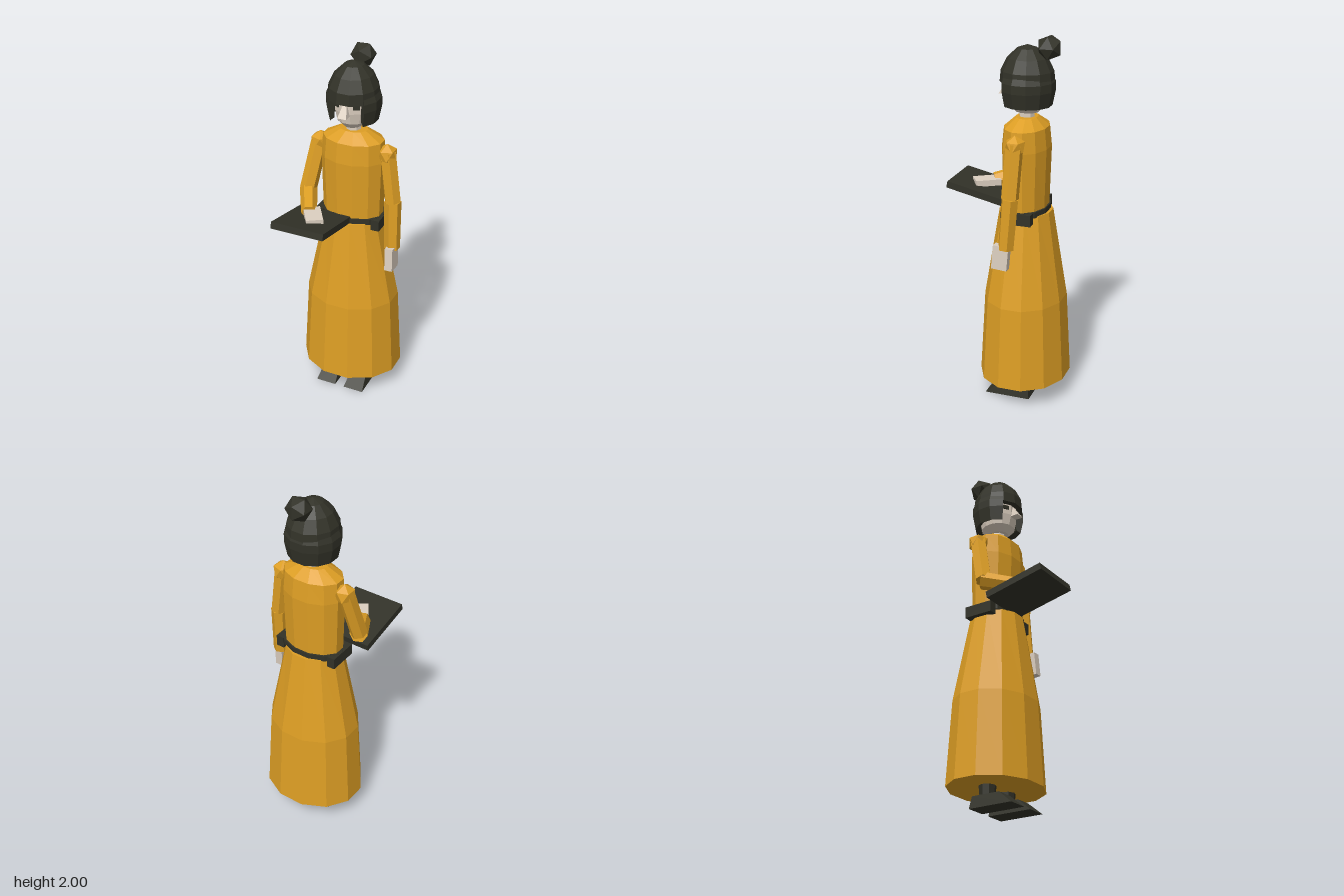
import * as THREE from 'three';
import { ConvexGeometry } from 'three/addons/geometries/ConvexGeometry.js';

const AXIS = -0.106; // z of the body's vertical axis
const V = (x, y, z) => new THREE.Vector3(x, y, z);

function material(name, color, side = THREE.FrontSide) {
  const m = new THREE.MeshStandardMaterial({ color, side, flatShading: true });
  m.name = name;
  return m;
}

export function createModel() {
  const model = new THREE.Group();
  const robe = material('golden robe', 0xdd9e24);
  const skin = material('pale skin', 0xdccfc0);
  const dark = material('charcoal', 0x323228, THREE.DoubleSide);

  function add(name, geometry, mat, x = 0, y = 0, z = 0) {
    const mesh = new THREE.Mesh(geometry, mat);
    mesh.name = name;
    mesh.position.set(x, y, z);
    model.add(mesh);
    return mesh;
  }

  // Twelve-sided elliptical body from rows of [half width, half depth, y]
  function rings(name, rows, mat, capped = true) {
    const k = 1 / Math.cos(Math.PI / 12);
    const list = capped
      ? [[0, 0, rows[0][2]], ...rows, [0, 0, rows[rows.length - 1][2]]] : rows;
    const g = new THREE.LatheGeometry(
      list.map((r) => new THREE.Vector2(r[0] * k, r[2])), 12, Math.PI / 12);
    const p = g.attributes.position;
    const n = list.length;
    for (let i = 0; i < p.count; i++) {
      const [w, d] = list[i % n];
      if (w > 0) p.setZ(i, p.getZ(i) * d / w);
    }
    g.computeVertexNormals();
    return add(name, g, mat, 0, 0, AXIS);
  }

  // Tapered six-sided limb between two points
  function limb(name, a, b, ra, rb, mat) {
    const dir = b.clone().sub(a);
    const mesh = add(name, new THREE.CylinderGeometry(rb, ra, dir.length(), 6), mat);
    mesh.position.copy(a).lerp(b, 0.5);
    mesh.quaternion.setFromUnitVectors(V(0, 1, 0), dir.normalize());
    return mesh;
  }

  // Robe
  rings('skirt', [[0.275, 0.238, 0.12], [0.25, 0.213, 0.58], [0.15, 0.137, 1.075]], robe);
  rings('torso', [[0.163, 0.112, 1.07], [0.172, 0.122, 1.42],
    [0.163, 0.111, 1.53], [0.076, 0.056, 1.58]], robe);

  // Belt with a pad on each hip
  rings('belt', [[0.178, 0.122, 1.07], [0.178, 0.122, 1.102]], dark);
  for (const s of [-1, 1]) {
    add('beltPad', new THREE.BoxGeometry(0.046, 0.062, 0.165), dark, s * 0.162, 1.07, AXIS);
  }

  // Feet: wedge shoes and ankles
  for (const s of [-1, 1]) {
    const shoe = [];
    for (const e of [-1, 1]) {
      const x = s * 0.085;
      shoe.push(V(x + e * 0.058, 0, 0.08), V(x + e * 0.058, 0, -0.173),
        V(x + e * 0.047, 0.066, 0), V(x + e * 0.047, 0.066, -0.163));
    }
    add('shoe', new ConvexGeometry(shoe), dark);
    add('ankle', new THREE.CylinderGeometry(0.052, 0.04, 0.12, 8), dark, s * 0.087, 0.12, -0.1);
  }

  // Shoulders, with one vertex pointing up
  for (const s of [-1, 1]) {
    const g = new THREE.IcosahedronGeometry(0.058);
    g.rotateZ(s * Math.atan(2 / (1 + Math.sqrt(5))));
    add('shoulder', g, robe, s * 0.19, 1.467, AXIS);
  }

  // Left arm, hanging
  const lElbow = V(0.233, 1.2, -0.095);
  const lWrist = V(0.243, 0.925, -0.076);
  limb('leftUpperArm', V(0.193, 1.48, AXIS), lElbow, 0.046, 0.046, robe);
  limb('leftForearm', lElbow, lWrist, 0.046, 0.043, robe);
  const lHand = add('leftHand', new THREE.BoxGeometry(0.044, 0.13, 0.085), skin, 0.25, 0.88, -0.052);
  lHand.rotation.set(-0.08, 0, 0.03);

  // Right arm, bent forward over the board
  const rElbow = V(-0.235, 1.2, -0.035);
  const rWrist = V(-0.15, 1.158, 0.128);
  limb('rightUpperArm', V(-0.193, 1.48, AXIS), rElbow, 0.046, 0.046, robe);
  limb('rightForearm', V(-0.238, 1.2, -0.045), rWrist, 0.048, 0.042, robe);
  const rHand = add('rightHand', new THREE.BoxGeometry(0.09, 0.034, 0.14), skin, -0.11, 1.16, 0.16);
  rHand.rotation.y = 0.58;

  // Tilted board
  const board = add('board', new THREE.BoxGeometry(0.298, 0.037, 0.343), dark, -0.116, 1.128, 0.171);
  board.rotation.x = -0.215;

  // Neck and head
  add('neck', new THREE.CylinderGeometry(0.04, 0.042, 0.1, 8), skin, 0, 1.59, AXIS);
  rings('head', [[0.05, 0.06, 1.605], [0.084, 0.092, 1.64], [0.096, 0.104, 1.7],
    [0.098, 0.106, 1.82]], skin);
  const nose = [];
  for (const e of [-1, 1]) {
    nose.push(V(e * 0.025, 1.69, 0.043), V(e * 0.009, 1.755, 0.002), V(e * 0.024, 1.69, -0.02),
      V(e * 0.009, 1.755, -0.02));
    const eye = add('eye', new THREE.BoxGeometry(0.034, 0.022, 0.008), dark,
      e * 0.055, 1.738, AXIS + 0.09);
    eye.rotation.y = e * 0.5;
  }
  add('nose', new ConvexGeometry(nose), skin);

  // Hair: crown with fringe
  rings('hairCrown', [[0.098, 0.1, 1.76], [0.132, 0.138, 1.76], [0.127, 0.133, 1.82],
    [0.098, 0.102, 1.885], [0.05, 0.053, 1.933], [0, 0, 1.952]], dark, false);

  // Hair: lower band, open at the face
  const band = [[0.105, 1.655], [0.13, 1.64], [0.146, 1.72], [0.146, 1.765],
    [0.132, 1.8], [0.105, 1.8], [0.105, 1.655]].map((p) => new THREE.Vector2(...p));
  add('hairBand', new THREE.LatheGeometry(band, 9, Math.PI / 4, Math.PI * 1.5), dark, 0, 0, AXIS);
  for (const a of [Math.PI / 4, Math.PI * 1.75]) {
    const end = add('hairBandEnd', new THREE.ShapeGeometry(new THREE.Shape(band)), dark, 0, 0, AXIS);
    end.rotation.y = a - Math.PI / 2;
  }

  // Bun
  add('hairBun', new THREE.IcosahedronGeometry(0.068), dark, 0, 1.942, -0.222);

  return model;
}
